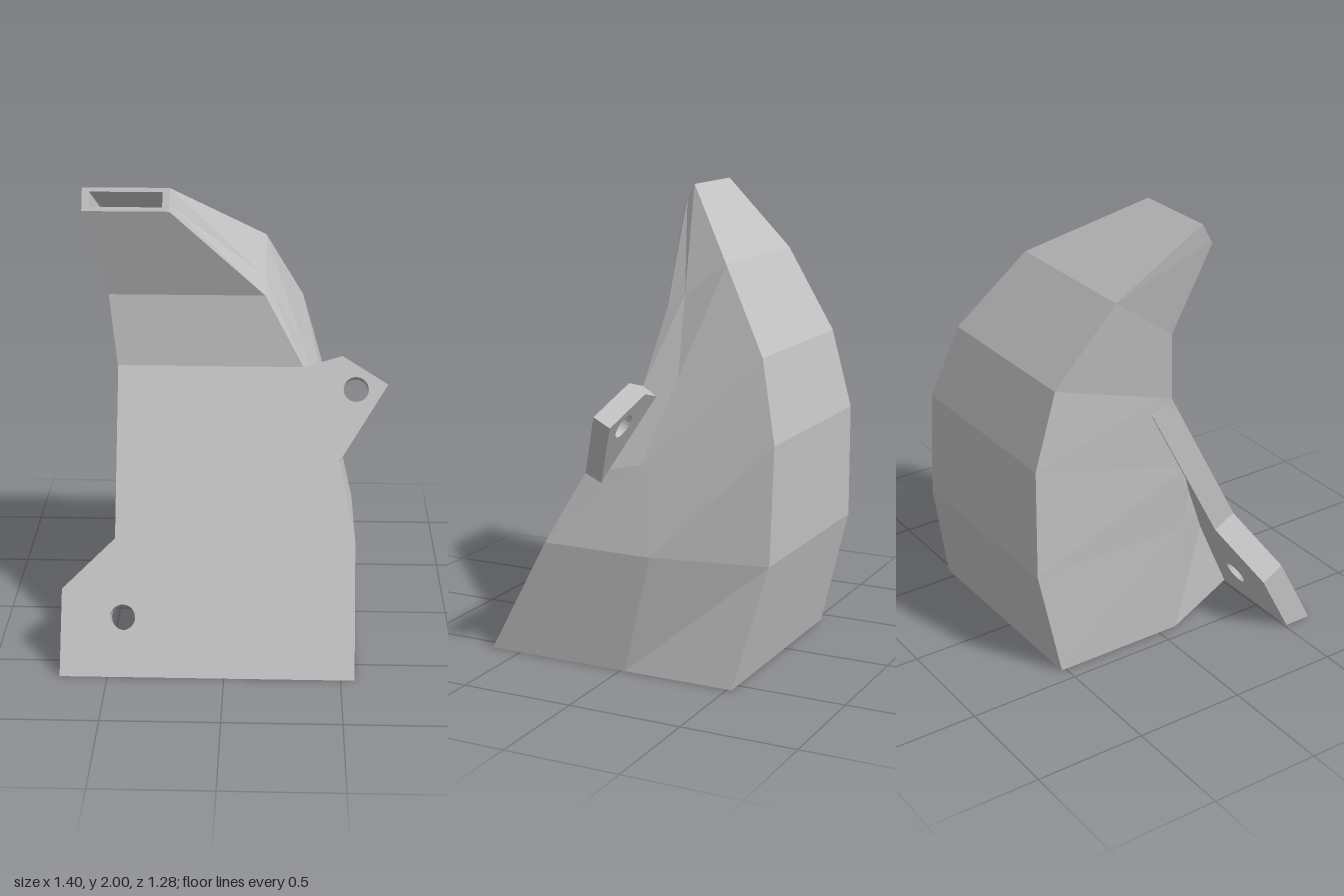
import * as THREE from 'three';

const grey = new THREE.MeshStandardMaterial({ color: 0xc0c0c0, side: THREE.DoubleSide });
grey.name = 'grey plastic';

const V = (x, y, z) => new THREE.Vector3(x, y, z);
const mix = (a, b, t) => a.clone().lerp(b, t);

// Flat-faced skin through closed rings that have equal point counts
function loft(rings, inward = false) {
  const pos = [];
  const tri = (a, b, c) => (inward ? [a, c, b] : [a, b, c]).forEach(p => pos.push(p.x, p.y, p.z));
  for (let k = 0; k < rings.length - 1; k++) {
    const lo = rings[k], hi = rings[k + 1], n = lo.length;
    for (let i = 0; i < n; i++) {
      const j = (i + 1) % n;
      tri(lo[i], lo[j], hi[j]);
      tri(lo[i], hi[j], hi[i]);
    }
  }
  const g = new THREE.BufferGeometry();
  g.setAttribute('position', new THREE.Float32BufferAttribute(pos, 3));
  g.computeVertexNormals();
  return g;
}

// Sloping front plane: z = 0.64 - SLOPE * y
const SLOPE = 0.53, COS = 1 / Math.hypot(1, SLOPE), SIN = SLOPE * COS;
const front = (x, y) => V(x, y, 0.64 - SLOPE * y);

// Plate lying in the front plane, with one round screw hole, cut off at the ground
function plate(outline, hx, hy, depth) {
  const shape = new THREE.Shape(outline.map(p => new THREE.Vector2(...p)));
  const hole = new THREE.Path();
  hole.absellipse(hx, hy, 0.055, 0.055 * COS, 0, Math.PI * 2, true);
  shape.holes.push(hole);
  const g = new THREE.ExtrudeGeometry(shape, { depth, bevelEnabled: false, curveSegments: 12 });
  const p = g.attributes.position;
  for (let i = 0; i < p.count; i++) {
    const w = depth - p.getZ(i), yf = p.getY(i);
    let y = yf - w * SIN, z = 0.64 - SLOPE * yf - w * COS;
    if (y < 0) { z += SLOPE * y; y = 0; }
    p.setXYZ(i, p.getX(i), y, z);
  }
  g.computeVertexNormals();
  return g;
}

export function createModel() {
  const model = new THREE.Group();
  model.name = 'airDuct';
  const add = (name, geometry) => {
    const m = new THREE.Mesh(geometry, grey);
    m.name = name;
    model.add(m);
    return m;
  };

  // Corners of each section: front right, back right, back left, front left
  const corners = [
    [front(0.56, 0), V(0.56, 0, -0.52), V(-0.43, 0, -0.52), front(-0.19, 0)],
    [front(0.56, 0.52), V(0.46, 0.52, -0.64), V(-0.44, 0.52, -0.64), front(-0.29, 0.52)],
    [front(0.49, 0.83), V(0.42, 1.02, -0.64), V(-0.44, 1.02, -0.64), front(-0.40, 0.83)],
    [front(0.33, 1.195), V(0.33, 1.36, -0.545), V(-0.445, 1.36, -0.545), front(-0.485, 1.195)],
    [V(0.16, 1.51, -0.025), V(0.16, 1.71, -0.30), V(-0.515, 1.71, -0.30), V(-0.52, 1.51, -0.025)],
    [V(-0.245, 1.91, 0.095), V(-0.245, 2, 0.045), V(-0.615, 2, 0.045), V(-0.615, 1.91, 0.095)],
  ];
  // Creases in the right and left walls
  const rightCrease = [V(0.56, 0, -0.02), V(0.56, 0.52, -0.14)];
  const leftCrease = [V(-0.43, 0, 0.09), V(-0.455, 0.52, 0.095), V(-0.475, 0.84, 0.10)];
  const outer = corners.map(([fr, br, bl, fl], i) => [
    fr, rightCrease[i] || mix(fr, br, 0.3), br, bl, leftCrease[i] || mix(fl, bl, 0.1), fl,
  ]);
  add('ductBody', loft(outer));

  // Nozzle rim
  const mouth = [[-0.275, 0.18], [-0.275, 0.82], [-0.585, 0.82], [-0.585, 0.18]]
    .map(([x, t]) => mix(V(x, 1.91, 0.095), V(x, 2, 0.045), t));
  add('nozzleRim', loft([corners[5], mouth]));

  // Inner channel: eight-sided inlet narrowing to the rectangular mouth
  const inlet = [[0.41, 0.33], [0.5, 0.14], [0.4, -0.4], [0.11, -0.47],
    [-0.25, -0.37], [-0.37, -0.24], [-0.4, 0.06], [-0.12, 0.4]];
  const channel = corners.slice(1, 5).map((q, k) => {
    const mid = q.reduce((s, p) => s.add(p), V(0, 0, 0)).multiplyScalar(0.25);
    const cut = 0.2 - 0.05 * k;
    return q.flatMap((p, i) => [mix(p, q[(i + 3) % 4], cut), mix(p, q[(i + 1) % 4], cut)])
      .map(p => mix(p, mid, 0.12));
  });
  add('innerChannel', loft([
    inlet.map(([x, z]) => V(x, 0, z)), ...channel, mouth.flatMap(p => [p, p]),
  ], true));

  // Underside with the inlet and two small screw pits
  const base = new THREE.Shape(outer[0].map(p => new THREE.Vector2(p.x, p.z)));
  base.holes.push(new THREE.Path(inlet.map(p => new THREE.Vector2(...p))));
  for (const [x, z] of [[0.46, 0.41], [-0.33, -0.4]]) {
    const r = 0.022;
    base.holes.push(new THREE.Path().absarc(x, z, r, 0, Math.PI * 2, true));
    const profile = [[r, 0], [r, 0.1], [0, 0.1]].map(p => new THREE.Vector2(...p));
    add('screwPit', new THREE.LatheGeometry(profile, 12).toNonIndexed()).position.set(x, 0, z);
  }
  add('underside', new THREE.ShapeGeometry(base).rotateX(Math.PI / 2));

  // Mounting tabs
  add('lowerMountingTab', plate([[-0.705, 0], [-0.12, 0], [-0.12, 1.19], [-0.483, 1.19],
    [-0.48, 0.525], [-0.705, 0.33]], -0.44, 0.225, 0.113));
  add('upperMountingTab', plate([[0.33, 1.195], [0.38, 0.95], [0.46, 0.83], [0.49, 0.83],
    [0.70, 1.13], [0.50, 1.24]], 0.56, 1.11, 0.085));

  return model;
}
